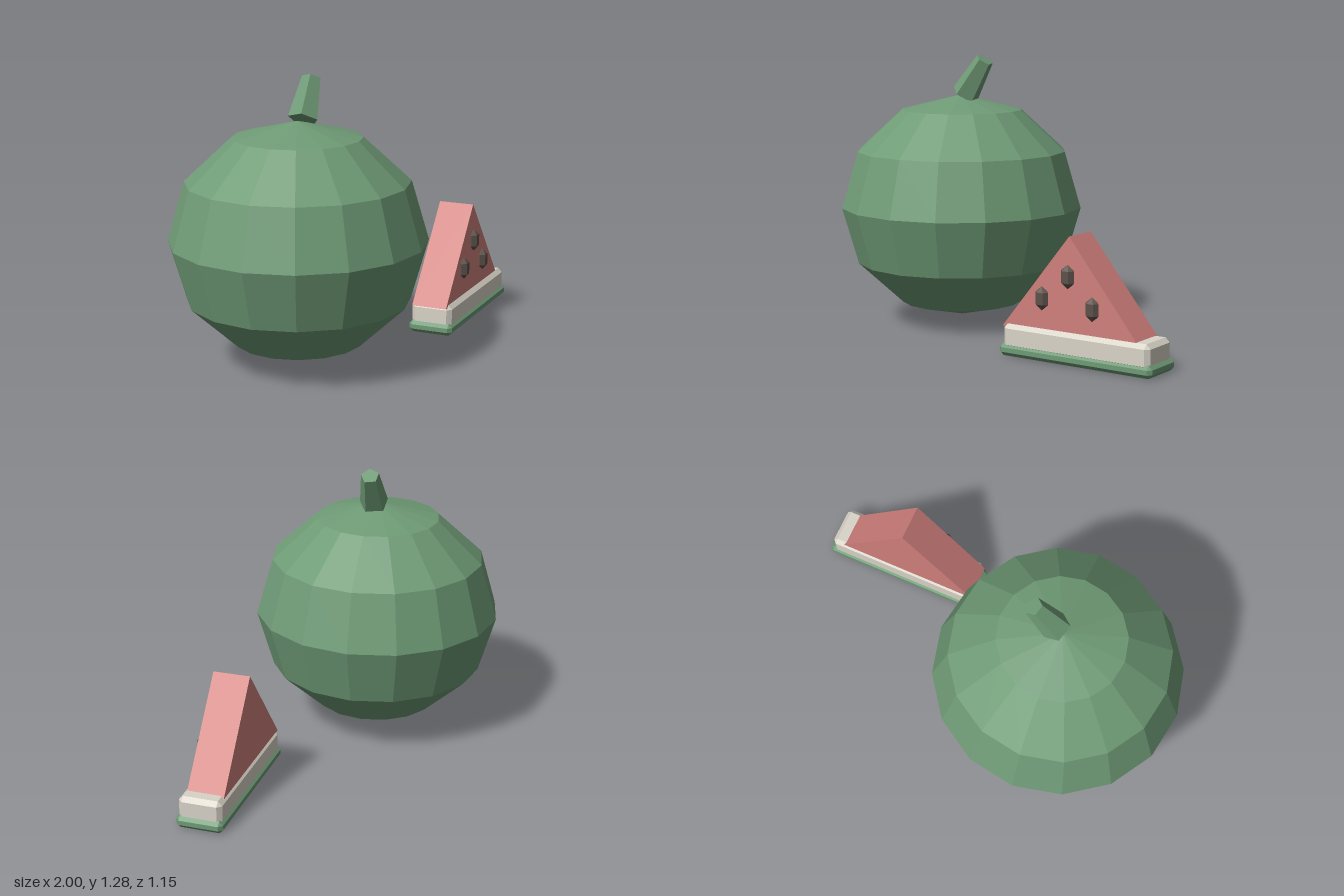
import * as THREE from 'three';
import { ConvexGeometry } from 'three/addons/geometries/ConvexGeometry.js';

const material = (name, color) => {
  const m = new THREE.MeshStandardMaterial({ color, flatShading: true });
  m.name = name;
  return m;
};

// Box with every edge and corner cut by c, standing from y0 to y1
function chamferedBox(w, y0, y1, d, c) {
  const h = y1 - y0, points = [];
  for (const sx of [-1, 1]) for (const sy of [-1, 1]) for (const sz of [-1, 1]) {
    for (const cut of [[0, c, c], [c, 0, c], [c, c, 0]]) {
      points.push(new THREE.Vector3(
        sx * (w / 2 - cut[0]), sy * (h / 2 - cut[1]), sz * (d / 2 - cut[2])));
    }
  }
  return new ConvexGeometry(points).translate(0, (y0 + y1) / 2, 0);
}

export function createModel() {
  const green = material('rind green', 0x6f9b76);
  const red = material('flesh red', 0xd0807c);
  const cream = material('inner rind cream', 0xd9d4c8);
  const brown = material('seed brown', 0x5e524c);

  const add = (parent, name, geometry, mat) => {
    const mesh = new THREE.Mesh(geometry, mat);
    mesh.name = name;
    parent.add(mesh);
    return mesh;
  };

  const model = new THREE.Group();
  model.name = 'watermelon';

  // Whole fruit, slightly flattened
  const fruit = add(model, 'wholeFruit', new THREE.SphereGeometry(0.573, 16, 6), green);
  fruit.scale.y = 0.53 / 0.573;
  fruit.position.set(-0.43, 0.557, 0);

  // Leaning, tapered five-sided stem
  const base = new THREE.Vector3(-0.395, 1.088, 0);
  const tip = new THREE.Vector3(-0.298, 1.254, -0.046);
  const axis = tip.clone().sub(base);
  const stem = add(model, 'stem',
    new THREE.CylinderGeometry(0.043, 0.068, axis.length(), 5).rotateY(Math.PI / 2), green);
  stem.position.copy(base).add(tip).multiplyScalar(0.5);
  stem.quaternion.setFromUnitVectors(new THREE.Vector3(0, 1, 0), axis.normalize());

  // Cut slice, turned a little to the side
  const slice = new THREE.Group();
  slice.name = 'slice';
  slice.position.set(0.603, 0, 0.043);
  slice.rotation.y = THREE.MathUtils.degToRad(20);
  model.add(slice);

  add(slice, 'outerRind', chamferedBox(0.77, 0, 0.057, 0.215, 0.018), green);
  add(slice, 'innerRind', chamferedBox(0.74, 0.03, 0.143, 0.198, 0.02), cream);

  // Triangular flesh
  const triangle = new THREE.Shape([
    new THREE.Vector2(-0.345, 0.13),
    new THREE.Vector2(0.345, 0.13),
    new THREE.Vector2(0, 0.557),
  ]);
  const flesh = add(slice, 'flesh',
    new THREE.ExtrudeGeometry(triangle, { depth: 0.17, bevelEnabled: false }), red);
  flesh.position.set(-0.033, 0, -0.09);

  // Seeds on the front face
  for (const [x, y] of [[-0.166, 0.277], [-0.035, 0.384], [0.089, 0.258]]) {
    const seed = add(slice, 'seed', new THREE.SphereGeometry(1, 6, 3), brown);
    seed.scale.set(0.038, 0.053, 0.027);
    seed.position.set(x, y, 0.088);
  }

  return model;
}
